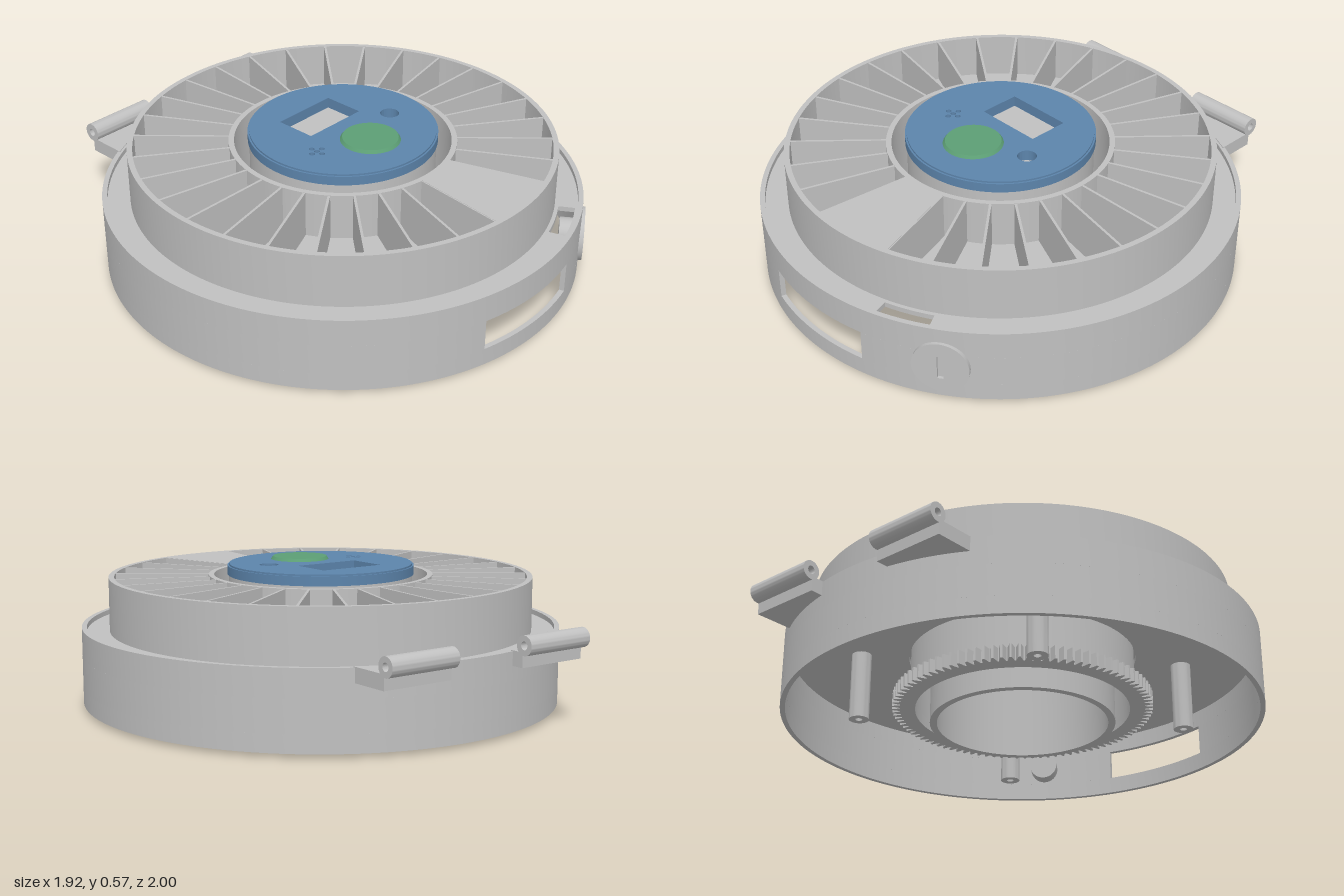
import * as THREE from 'three';
import { toCreasedNormals } from 'three/addons/utils/BufferGeometryUtils.js';

const grey = new THREE.MeshStandardMaterial({ color: 0xc0c0c0 });
grey.name = 'grey plastic';
const blue = new THREE.MeshStandardMaterial({ color: 0x5c84ab });
blue.name = 'blue lid';
const green = new THREE.MeshStandardMaterial({ color: 0x5c9e74 });
green.name = 'green button';

const RAD = Math.PI / 180;

// Angles are degrees from the front (+z) towards +x.
const toShape = (deg) => (deg - 90) * RAD;

function circle(r, x = 0, y = 0, Type = THREE.Path) {
  return new Type().absarc(x, y, r, 0, Math.PI * 2, false);
}

function sector(r0, r1, a0, a1, Type = THREE.Shape) {
  const s = new Type();
  s.absarc(0, 0, r1, toShape(a0), toShape(a1), false);
  s.absarc(0, 0, r0, toShape(a1), toShape(a0), true);
  s.closePath();
  return s;
}

function annulus(r0, r1) {
  const s = circle(r1, 0, 0, THREE.Shape);
  s.holes.push(circle(r0));
  return s;
}

function extrude(shape, depth, segments = 96) {
  const g = new THREE.ExtrudeGeometry(shape, { depth, bevelEnabled: false, curveSegments: segments });
  return toCreasedNormals(g, 0.45);
}

export function createModel() {
  const model = new THREE.Group();
  model.name = 'rotaryDispenser';
  const body = new THREE.Group();
  body.name = 'body';
  body.position.z = 0.04;
  model.add(body);

  function add(name, geometry, material = grey, parent = body) {
    const mesh = new THREE.Mesh(geometry, material);
    mesh.name = name;
    parent.add(mesh);
    return mesh;
  }

  // Plan shape raised from y0 to y1
  function slab(name, shape, y0, y1, material = grey, segments = 96) {
    return add(name, extrude(shape, y1 - y0, segments).rotateX(-Math.PI / 2).translate(0, y0, 0), material);
  }

  // Shell wall with front window
  slab('shellWallLower', annulus(0.94, 0.96), 0.015, 0.085);
  slab('shellWallMiddle', sector(0.94, 0.96, 15, 345), 0.085, 0.21);
  slab('shellWallUpper', annulus(0.94, 0.96), 0.21, 0.32);

  // Ledge with a slot beside the side knob
  const ledge = annulus(0.46, 0.945);
  ledge.holes.push(sector(0.865, 0.93, 18, 31, THREE.Path));
  slab('shellLedge', ledge, 0.28, 0.3);

  // Screw posts under the ledge
  for (const x of [-0.46, 0.46]) {
    for (const z of [-0.46, 0.46]) {
      slab('screwPost', annulus(0.014, 0.04), 0, 0.285, grey, 16).position.set(x, 0, z);
    }
  }

  // Side knob on the wall
  const knob = new THREE.Group();
  knob.name = 'sideKnob';
  knob.rotation.y = 34 * RAD;
  knob.position.y = 0.155;
  body.add(knob);
  const face = circle(0.108, 0, 0, THREE.Shape);
  face.holes.push(new THREE.Path([[-0.012, -0.05], [0.012, -0.05], [0.012, 0.05], [-0.012, 0.05]]
    .map(([x, y]) => new THREE.Vector2(x, y))));
  add('knobFace', extrude(face, 0.03, 24).translate(0, 0, 0.942), grey, knob);
  add('knobBoss', new THREE.CylinderGeometry(0.06, 0.06, 0.07, 32)
    .rotateX(Math.PI / 2).translate(0, 0, 0.91), grey, knob);

  // Hinges at the back
  for (const [x0, x1] of [[-0.47, -0.17], [0.17, 0.47]]) {
    const block = new THREE.Shape();
    block.moveTo(x1, 0.995);
    block.lineTo(x0, 0.995);
    block.absarc(0, 0, 0.95, Math.acos(x0 / 0.95), Math.acos(x1 / 0.95), true);
    block.closePath();
    slab('hingeBlock', block, 0.265, 0.323, grey, 16);
    add('hingeBarrel', extrude(annulus(0.016, 0.038), x1 - x0, 20)
      .rotateY(Math.PI / 2).translate(x0, 0.348, -1.002));
  }

  // Tray with compartments; one double compartment is filled
  slab('trayOuterWall', annulus(0.828, 0.85), 0.3, 0.515);
  slab('trayInnerWall', annulus(0.43, 0.452), 0.1, 0.515);
  slab('trayFloor', annulus(0.44, 0.84), 0.302, 0.33);
  slab('trayFilledSector', sector(0.45, 0.83, -6, 18), 0.32, 0.515);
  for (let a = 18; a <= 354; a += 12) {
    add('trayDivider', new THREE.BoxGeometry(0.01, 0.19, 0.39)
      .translate(0, 0.419, 0.64).rotateY(a * RAD));
  }

  // Ring gear under the tray
  const teeth = 96;
  const outline = [];
  for (let i = 0; i < teeth; i++) {
    for (const [f, r] of [[0, 0.49], [0.3, 0.522], [0.55, 0.522], [0.85, 0.49]]) {
      const a = (i + f) / teeth * Math.PI * 2;
      outline.push(new THREE.Vector2(r * Math.cos(a), r * Math.sin(a)));
    }
  }
  const gear = new THREE.Shape(outline);
  gear.holes.push(circle(0.43));
  slab('ringGear', gear, 0.055, 0.11);

  // Bracket beside the gear
  const bracket = new THREE.Group();
  bracket.name = 'driveBracket';
  bracket.rotation.y = 42 * RAD;
  body.add(bracket);
  for (const x of [-0.07, 0.07]) {
    add('bracketSide', new THREE.BoxGeometry(0.02, 0.16, 0.12).translate(x, 0.2, 0.62), grey, bracket);
  }
  add('bracketBack', new THREE.BoxGeometry(0.16, 0.16, 0.02).translate(0, 0.2, 0.56), grey, bracket);

  // Central tube and its inner plate
  slab('centreTube', annulus(0.342, 0.37), 0, 0.516);
  slab('displayPlate', circle(0.35, 0, 0, THREE.Shape), 0.5, 0.515);

  // Small tabs on the inner wall
  for (const a of [209, 331]) {
    add('innerTab', new THREE.BoxGeometry(0.03, 0.03, 0.03).translate(0, 0.3, 0.42).rotateY(a * RAD));
  }

  // Blue lid with display window, sensor hole and speaker holes
  function lidShape(r) {
    const s = circle(r, 0, 0, THREE.Shape);
    s.holes.push(new THREE.Path([[-0.14, 0.04], [0.14, 0.04], [0.14, 0.21], [-0.14, 0.21]]
      .map(([x, y]) => new THREE.Vector2(x, y))));
    s.holes.push(circle(0.038, 0.212, -0.06));
    for (const [dx, dy] of [[0, 0], [1, 0], [-1, 0], [0, 1], [0, -1]]) {
      s.holes.push(circle(0.011, -0.212 + dx * 0.027, -0.06 + dy * 0.027));
    }
    return s;
  }
  slab('lid', lidShape(0.376), 0.515, 0.552, blue, 64);
  slab('lidTop', lidShape(0.369), 0.552, 0.559, blue, 64);

  // Green push button
  add('pushButton', toCreasedNormals(new THREE.CylinderGeometry(0.11, 0.12, 0.014, 64), 0.4)
    .translate(0, 0.564, 0.145), green);

  return model;
}
